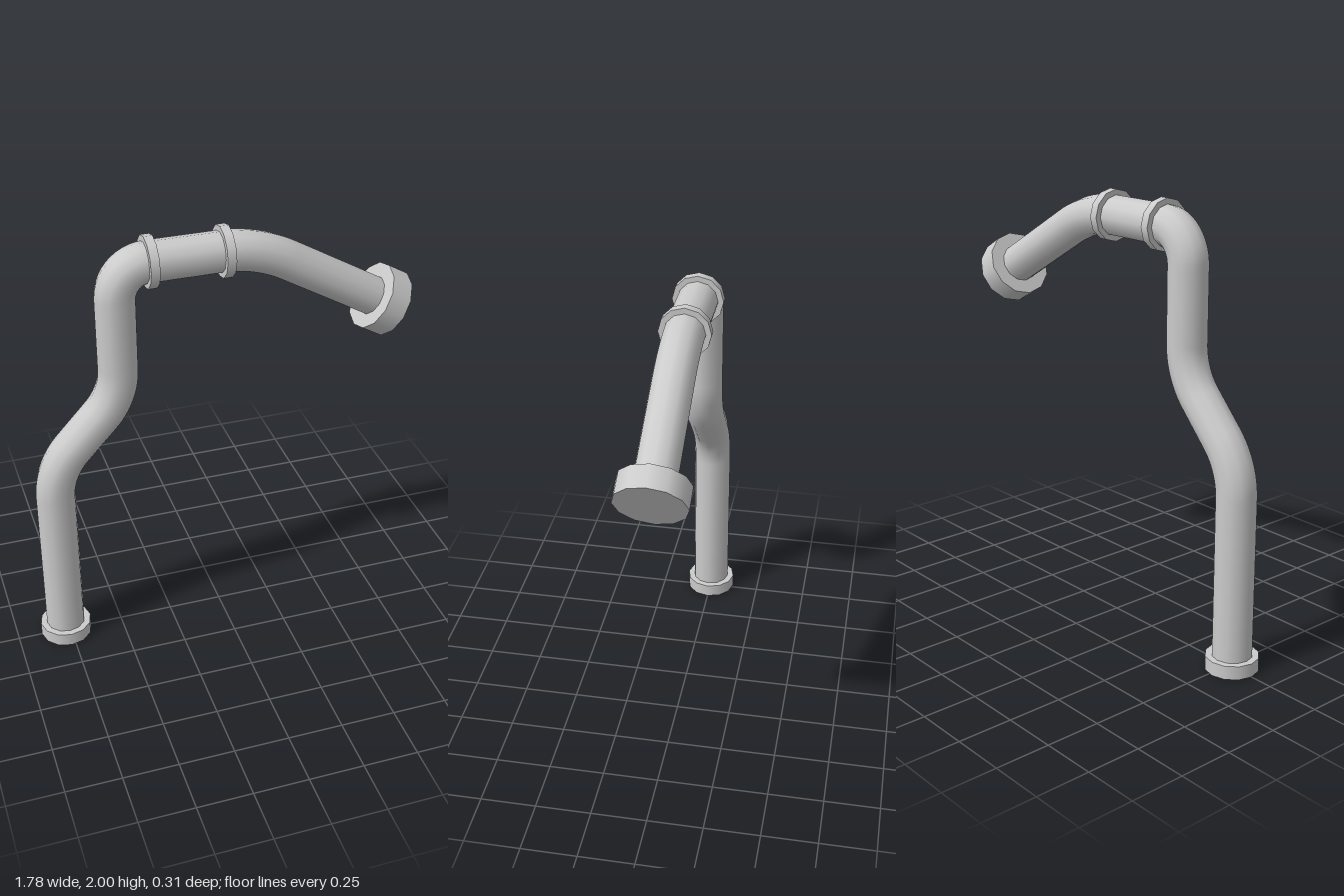
import * as THREE from 'three';

const SIDES = 12;
const PIPE_RADIUS = 0.09;
const material = new THREE.MeshStandardMaterial({ color: 0xcccccc });

// Polyline with circular fillets; each corner is [x, y, bendRadius]
function filletedPath(corners) {
  const path = new THREE.CurvePath();
  const points = corners.map(([x, y]) => new THREE.Vector3(x, y, 0));
  let last = points[0];
  for (let i = 1; i < points.length - 1; i++) {
    const before = points[i].clone().sub(points[i - 1]).normalize();
    const after = points[i + 1].clone().sub(points[i]).normalize();
    const angle = before.angleTo(after);
    const radius = corners[i][2];
    const cut = radius * Math.tan(angle / 2);
    const handle = (4 / 3) * Math.tan(angle / 4) * radius;
    const start = points[i].clone().addScaledVector(before, -cut);
    const end = points[i].clone().addScaledVector(after, cut);
    path.add(new THREE.LineCurve3(last, start));
    path.add(new THREE.CubicBezierCurve3(
      start,
      start.clone().addScaledVector(before, handle),
      end.clone().addScaledVector(after, -handle),
      end
    ));
    last = end;
  }
  path.add(new THREE.LineCurve3(last, points[points.length - 1]));
  return path;
}

// Short cylinder around the pipe, tilted in the xy plane
function collar(name, radius, length, x, y, tilt = 0) {
  const mesh = new THREE.Mesh(new THREE.CylinderGeometry(radius, radius, length, SIDES), material);
  mesh.name = name;
  mesh.position.set(x, y, 0);
  mesh.rotation.z = tilt;
  return mesh;
}

export function createModel() {
  const group = new THREE.Group();
  group.name = 'bentPipe';

  // Continuous pipe: riser, offset bend, elbow, level run and sloping outlet
  const path = filletedPath([
    [-0.77, 0.02],
    [-0.77, 0.93, 0.34],
    [-0.457, 1.27, 0.34],
    [-0.457, 1.885, 0.145],
    [0.165, 1.885, 0.6],
    [0.763, 1.54]
  ]);
  const pipe = new THREE.Mesh(new THREE.TubeGeometry(path, 160, PIPE_RADIUS, SIDES), material);
  pipe.name = 'pipe';
  group.add(pipe);

  // Foot flange
  group.add(collar('baseFlange', 0.12, 0.063, -0.77, 0.0315));

  // Two joint rings on the level run
  [-0.306, 0.024].forEach((x, i) => {
    group.add(collar(`jointRing${i + 1}`, 0.115, 0.04, x, 1.885, Math.PI / 2));
  });

  // Wide cap square to the outlet
  group.add(collar('outletCap', 0.155, 0.105, 0.763, 1.54, Math.PI / 3));

  return group;
}
